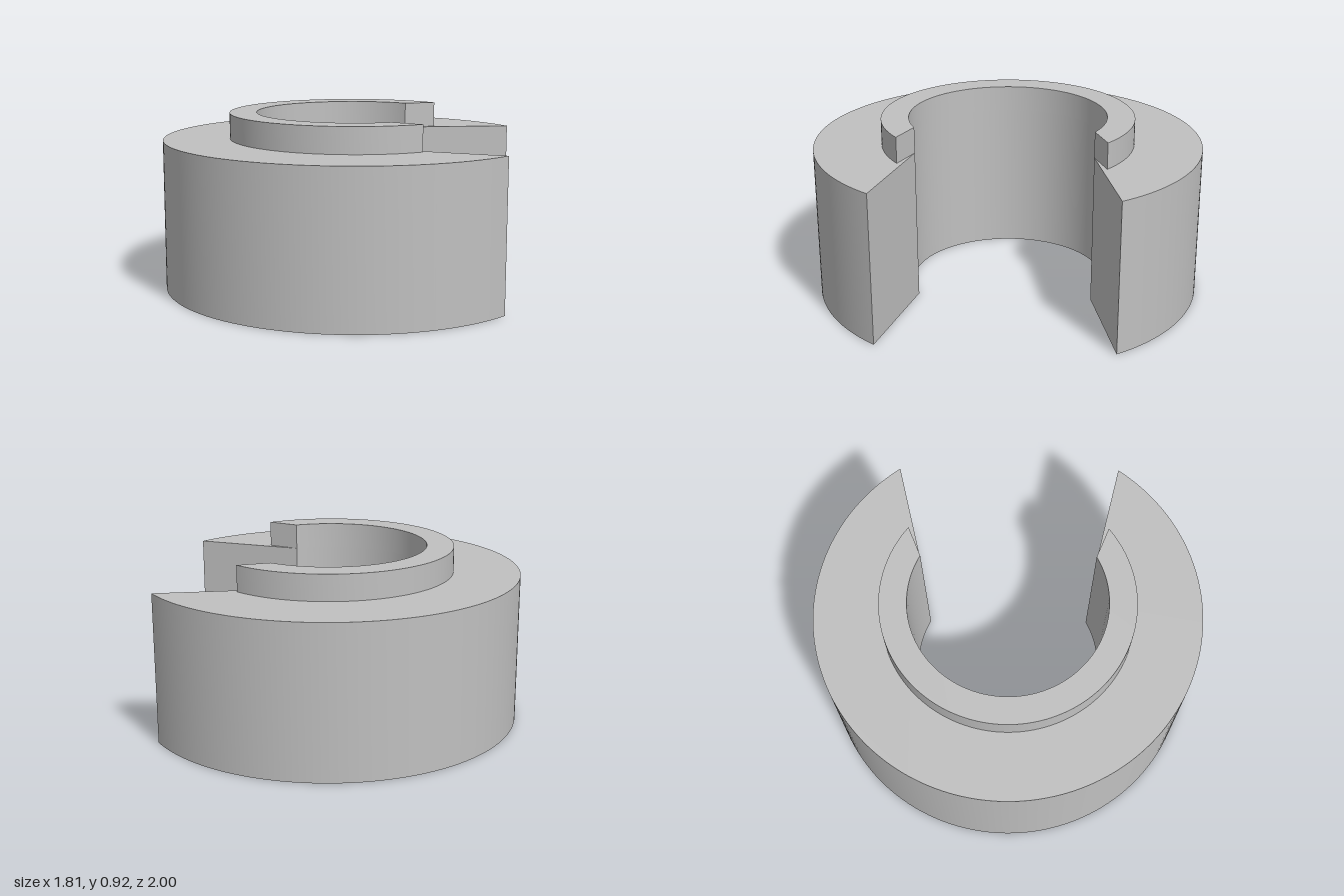
import * as THREE from 'three';
import { toCreasedNormals } from 'three/addons/utils/BufferGeometryUtils.js';

const CENTRE_X = 0.095;
const BORE = { radius: 0.51, angle: 1.08 };

// C-shaped slab between the bore and an outer arc, open towards +x.
function openRing(name, outerRadius, outerAngle, bottom, top, material) {
  const shape = new THREE.Shape();
  shape.absarc(0, 0, outerRadius, outerAngle, 2 * Math.PI - outerAngle, false);
  shape.absarc(0, 0, BORE.radius, 2 * Math.PI - BORE.angle, BORE.angle, true);
  shape.closePath();
  const solid = new THREE.ExtrudeGeometry(shape, {
    depth: top - bottom, bevelEnabled: false, curveSegments: 80,
  });
  solid.rotateX(-Math.PI / 2);
  const mesh = new THREE.Mesh(toCreasedNormals(solid, 0.4), material);
  mesh.name = name;
  mesh.position.set(CENTRE_X, bottom, 0);
  return mesh;
}

export function createModel() {
  const grey = new THREE.MeshStandardMaterial({ color: 0xc0c0c0 });
  grey.name = 'light grey';

  const model = new THREE.Group();
  model.name = 'slottedCollar';
  model.add(
    // Thick body with slanted slot faces
    openRing('body', 1, 0.625, 0, 0.785, grey),
    // Narrow raised lip around the bore
    openRing('raisedLip', 0.652, 0.911, 0.785, 0.92, grey),
  );
  return model;
}
